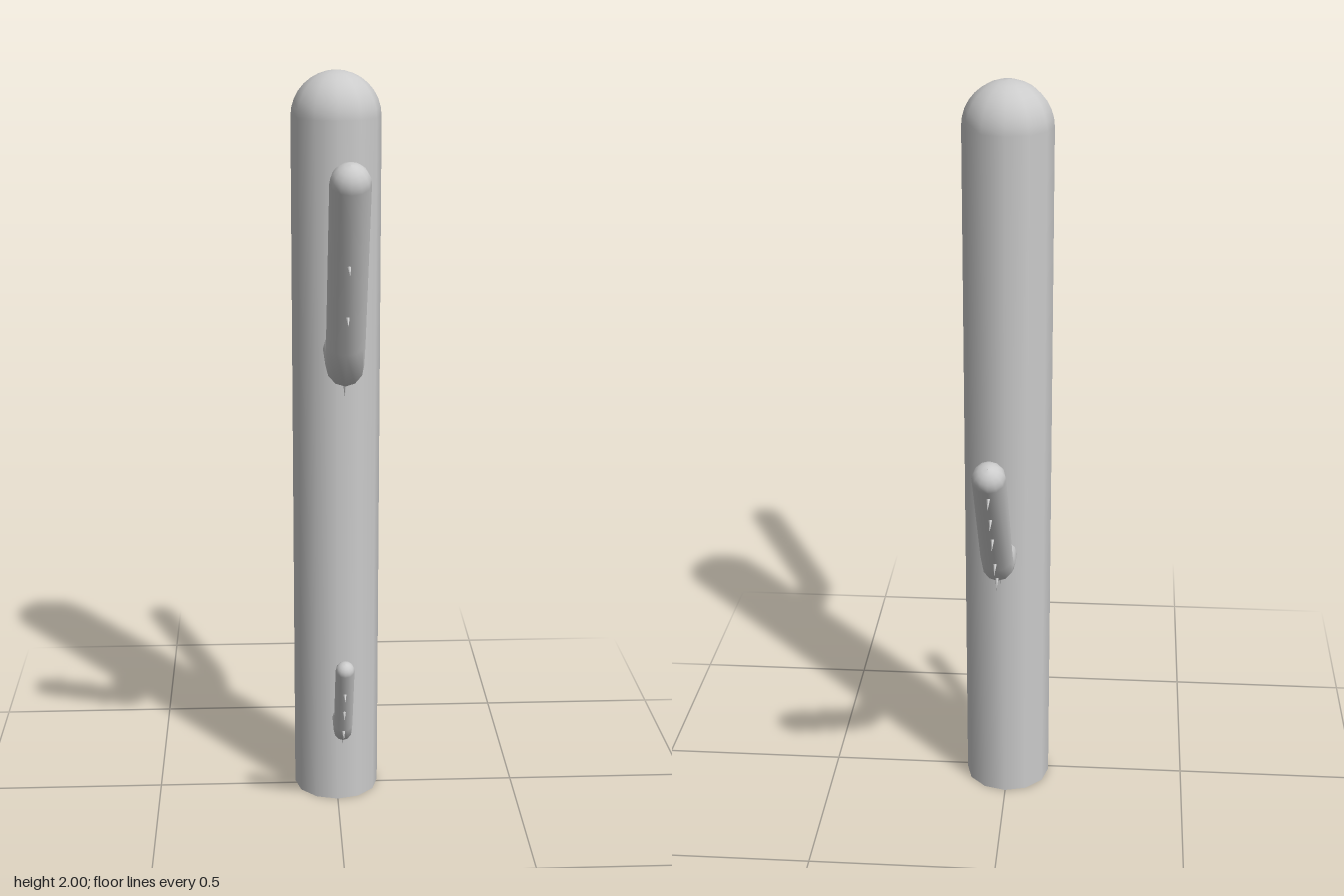
import * as THREE from 'three';
import { mergeVertices } from 'three/addons/utils/BufferGeometryUtils.js';

const SIDES = 12;
const ARM_X = 0.01;
const grey = new THREE.MeshStandardMaterial({ color: 0xcccccc });
const greyOpen = new THREE.MeshStandardMaterial({ color: 0xcccccc, side: THREE.DoubleSide });

// Arms: path as [z, y]; thorns as distances along the path on the upper and lower side
const ARMS = [
  { name: 'upperFrontArm', radius: 0.049, thorn: 0.042,
    path: [[0.05, 1.297], [0.265, 1.297], [0.31, 1.366], [0.522, 1.788]],
    upper: [0.14, 0.366, 0.49, 0.686], lower: [0.111, 0.211, 0.412, 0.565] },
  { name: 'backArm', radius: 0.042, thorn: 0.04,
    path: [[-0.08, 0.75], [-0.167, 0.75], [-0.241, 0.777], [-0.289, 0.825], [-0.517, 1.147]],
    upper: [0.1, 0.324, 0.429, 0.542], lower: [0.08, 0.175, 0.265, 0.396, 0.497, 0.6] },
  { name: 'lowerFrontArm', radius: 0.025, thorn: 0.034,
    path: [[0.05, 0.25], [0.178, 0.25], [0.2, 0.28], [0.3, 0.48]],
    upper: [0.085, 0.223, 0.33], lower: [0.115, 0.163, 0.243, 0.317] },
];

// Normal of a direction within the arm's vertical plane
const sideways = (t) => new THREE.Vector3(0, t.z, -t.y);

// Bent tube with mitred corners and a rounded tip
function armGeometry(points, radius) {
  const rings = [];
  const dirs = points.slice(1).map((p, i) => p.clone().sub(points[i]).normalize());
  const last = dirs.length;
  points.forEach((p, i) => {
    const before = dirs[Math.max(i - 1, 0)];
    const t = before.clone().add(dirs[Math.min(i, last - 1)]).normalize();
    rings.push({ c: p, n: sideways(t), r: radius, stretch: 1 / t.dot(before) });
  });
  const tipDir = dirs[last - 1];
  for (let k = 1; k <= 5; k++) {
    const a = (k / 5) * Math.PI / 2;
    rings.push({
      c: points[last].clone().addScaledVector(tipDir, radius * Math.sin(a)),
      n: sideways(tipDir), r: Math.max(radius * Math.cos(a), 1e-4), stretch: 1,
    });
  }
  const pos = [], index = [];
  rings.forEach(({ c, n, r, stretch }, i) => {
    for (let j = 0; j < SIDES; j++) {
      const a = (j / SIDES) * Math.PI * 2;
      const s = Math.sin(a) * r * stretch;
      pos.push(c.x + Math.cos(a) * r, c.y + n.y * s, c.z + n.z * s);
      if (i === rings.length - 1) continue;
      const p = i * SIDES + j, q = i * SIDES + (j + 1) % SIDES;
      index.push(p, q, p + SIDES, q, q + SIDES, p + SIDES);
    }
  });
  const g = new THREE.BufferGeometry();
  g.setAttribute('position', new THREE.Float32BufferAttribute(pos, 3));
  g.setIndex(index);
  g.computeVertexNormals();
  return g;
}

// Position and direction at a distance along the path
function along(points, distance) {
  for (let i = 0; i < points.length - 1; i++) {
    const step = points[i + 1].clone().sub(points[i]);
    const length = step.length();
    if (distance <= length || i === points.length - 2) {
      const t = step.divideScalar(length);
      return { p: points[i].clone().addScaledVector(t, distance), t };
    }
    distance -= length;
  }
}

function buildArm({ name, radius, thorn, path, upper, lower }) {
  const group = new THREE.Group();
  group.name = name;
  const points = path.map(([z, y]) => new THREE.Vector3(ARM_X, y, z));
  const limb = new THREE.Mesh(armGeometry(points, radius), grey);
  limb.name = 'limb';
  group.add(limb);

  const cone = new THREE.ConeGeometry(0.006, thorn, 6);
  cone.translate(0, thorn / 2 - 0.008, 0);
  const facing = Math.sign(path[path.length - 1][0]);
  for (const [list, side] of [[upper, facing], [lower, -facing]]) {
    for (const d of list) {
      const { p, t } = along(points, d);
      const n = sideways(t).multiplyScalar(side);
      const spike = new THREE.Mesh(cone, grey);
      spike.name = 'thorn';
      spike.position.copy(p).addScaledVector(n, radius);
      spike.quaternion.setFromUnitVectors(new THREE.Vector3(0, 1, 0), n);
      group.add(spike);
    }
  }
  return group;
}

export function createModel() {
  const model = new THREE.Group();
  model.name = 'cactus';

  // Trunk: open at the bottom, domed on top
  const R = 0.117, H = 2;
  const profile = [new THREE.Vector2(R, 0)];
  for (let k = 0; k <= 8; k++) {
    const a = (k / 8) * Math.PI / 2;
    profile.push(new THREE.Vector2(k === 8 ? 0 : R * Math.cos(a), H - R + R * Math.sin(a)));
  }
  const trunkGeometry = new THREE.LatheGeometry(profile, SIDES);
  trunkGeometry.deleteAttribute('uv');
  const trunk = new THREE.Mesh(mergeVertices(trunkGeometry), greyOpen);
  trunk.name = 'trunk';
  trunk.position.z = -0.015;
  model.add(trunk);

  ARMS.forEach((arm) => model.add(buildArm(arm)));
  return model;
}
